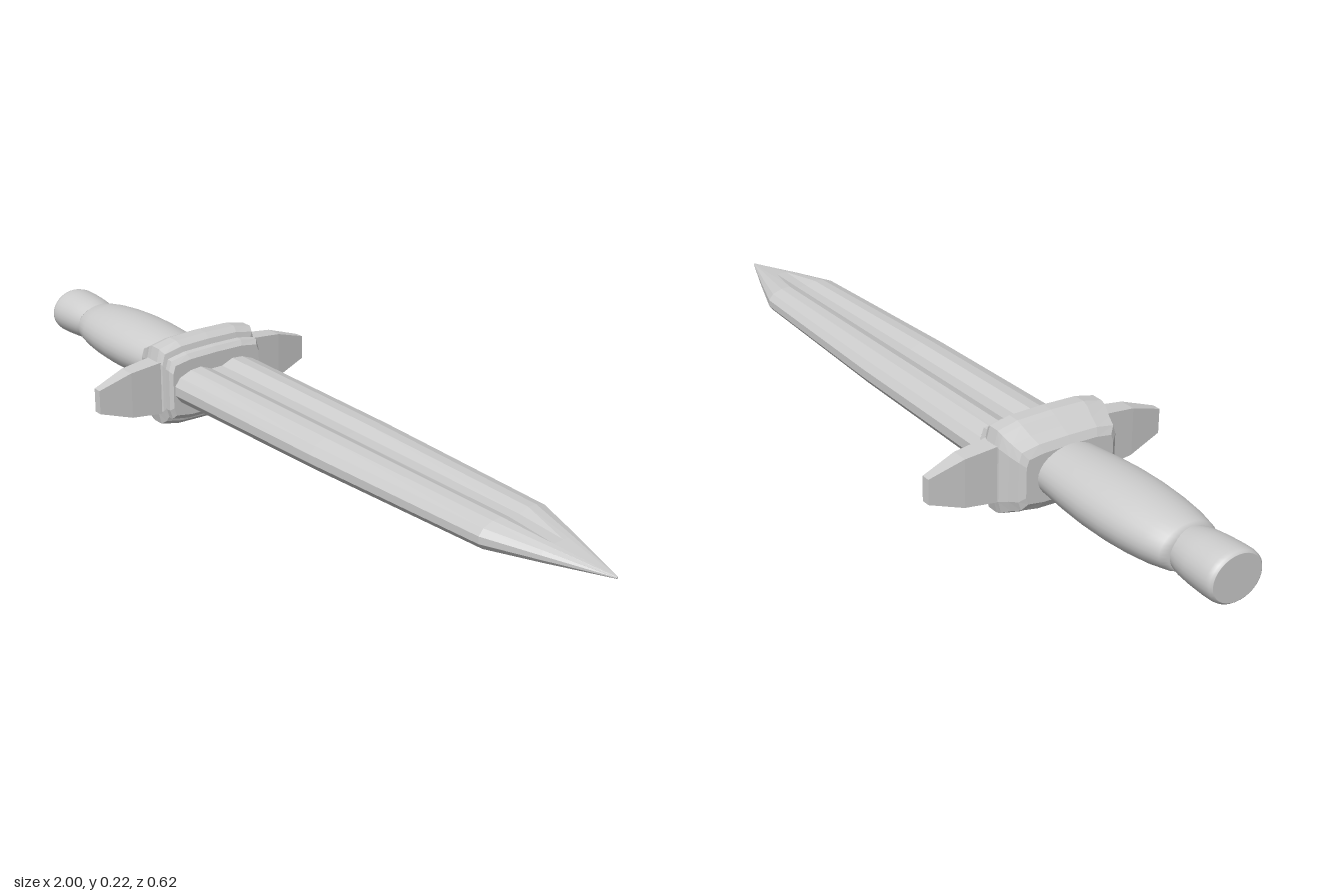
import * as THREE from 'three';

const MID = 0.112; // height of the long axis

// Skin a list of { x, ring: [[z, y], ...] } sections (rings run from +z over +y to -z)
function loft(sections) {
  const n = sections[0].ring.length, pos = [], idx = [];
  for (const s of sections) for (const [z, y] of s.ring) pos.push(s.x, y, z);
  for (let s = 0; s < sections.length - 1; s++) {
    for (let i = 0; i < n; i++) {
      const a = s * n + i, b = s * n + (i + 1) % n;
      idx.push(a, a + n, b, b, a + n, b + n);
    }
  }
  const last = (sections.length - 1) * n, c0 = pos.length / 3;
  pos.push(sections[0].x, 0, 0, sections[sections.length - 1].x, 0, 0);
  for (let i = 0; i < n; i++) {
    const j = (i + 1) % n;
    idx.push(c0, i, j, c0 + 1, last + j, last + i);
  }
  const g = new THREE.BufferGeometry();
  g.setAttribute('position', new THREE.Float32BufferAttribute(pos, 3));
  g.setIndex(idx);
  const flat = g.toNonIndexed();
  flat.computeVertexNormals();
  return flat;
}

// Mirror a quarter outline (from +z side to the top centre) into a full ring
function mirrorRing(quarter) {
  const half = [...quarter, ...quarter.slice(0, -1).reverse().map(([z, y]) => [-z, y])];
  return [...half, ...half.slice().reverse().map(([z, y]) => [z, -y])];
}

// Oval turned part along x; points are [radius, -x]
function turned(points, widen) {
  const g = new THREE.LatheGeometry(points.map(p => new THREE.Vector2(...p)), 32);
  g.rotateZ(Math.PI / 2);
  g.scale(1, 1, widen);
  return g;
}

export function createModel() {
  const steel = new THREE.MeshStandardMaterial({ color: 0xcccccc });
  steel.name = 'pale grey';
  const group = new THREE.Group();
  group.name = 'dagger';
  const add = (name, geometry) => {
    const m = new THREE.Mesh(geometry, steel);
    m.name = name;
    m.position.y = MID;
    group.add(m);
    return m;
  };

  // Blade: bevelled edges, twin ridges and a central groove that fades near the tip
  const blade = [
    // x, half width, half thickness, groove depth
    [-0.36, 0.126, 0.047, 0.013],
    [0.2, 0.119, 0.042, 0.012],
    [0.72, 0.1, 0.034, 0.009],
    [0.85, 0.056, 0.02, 0],
    [1.0, 0.002, 0.002, 0],
  ];
  add('blade', loft(blade.map(([x, w, t, d]) => ({
    x,
    ring: mirrorRing([
      [w, t * 0.25], [w * 0.88, t * 0.68], [w * 0.62, t * 0.95],
      [w * 0.38, t], [w * 0.13, t - d], [0, t - d],
    ]),
  }))));

  // Guard block: arched top and bottom, stepped along its length
  const guard = [
    // x, half width, half height
    [-0.47, 0.115, 0.06],
    [-0.46, 0.128, 0.078],
    [-0.435, 0.136, 0.09],
    [-0.41, 0.145, 0.106],
    [-0.395, 0.146, 0.112],
    [-0.365, 0.146, 0.112],
    [-0.35, 0.14, 0.1],
    [-0.346, 0.132, 0.084],
    [-0.342, 0.136, 0.088],
    [-0.328, 0.136, 0.086],
    [-0.318, 0.13, 0.074],
  ];
  add('guardBlock', loft(guard.map(([x, w, h]) => ({
    x,
    ring: mirrorRing([[w, h * 0.6], [w * 0.945, h * 0.88], [w * 0.6, h * 0.98], [0, h]]),
  }))));

  // Two tapering cross-guard arms
  const arm = [
    // distance out, half thickness, half height
    [0.1, 0.026, 0.069],
    [0.145, 0.025, 0.067],
    [0.225, 0.021, 0.058],
    [0.31, 0.011, 0.03],
  ];
  for (const side of [1, -1]) {
    const g = loft(arm.map(([x, t, h]) => ({ x, ring: [[t, -h], [t, h], [-t, h], [-t, -h]] })));
    g.rotateY(-side * Math.PI / 2);
    add(side > 0 ? 'frontGuardArm' : 'backGuardArm', g).position.x = -0.38;
  }

  // Swelling oval grip
  add('grip', turned([
    [0.06, 0.44], [0.062, 0.48], [0.067, 0.55], [0.07, 0.62], [0.07, 0.69],
    [0.067, 0.75], [0.061, 0.81], [0.053, 0.855], [0.045, 0.87], [0, 0.872],
  ], 1.39));

  // Pommel with a flat, softly rounded end
  add('pommel', turned([
    [0.047, 0.85], [0.049, 0.868], [0.054, 0.89], [0.057, 0.92], [0.059, 0.96],
    [0.059, 0.985], [0.057, 0.995], [0.053, 1.0], [0.052, 1.0], [0, 1.0],
  ], 1.18));

  return group;
}
